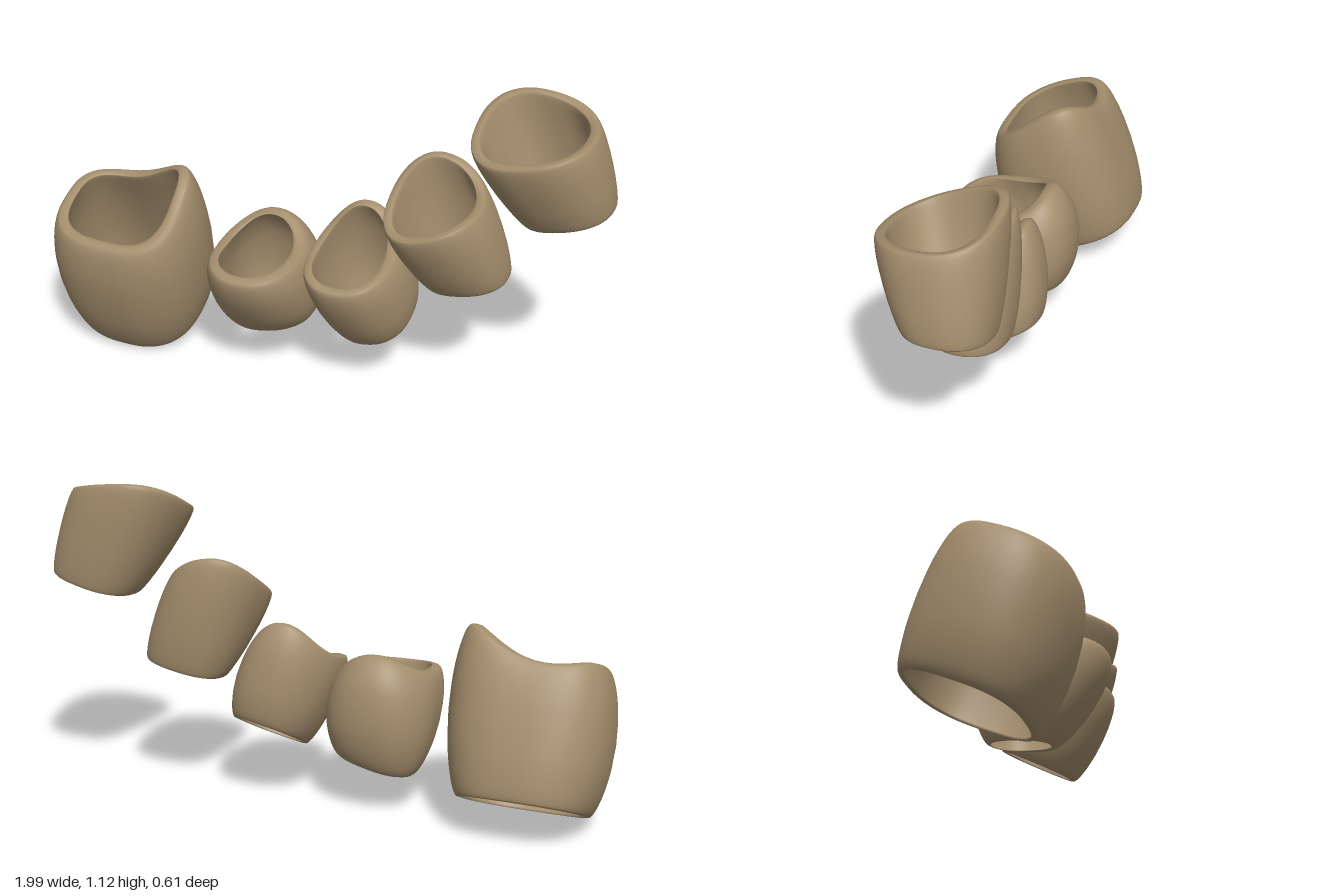
import * as THREE from 'three';

// Each rim is a squarish oval: centre, half sizes [x, z] and rise towards [+x, +z].
// bend lifts (or drops) the sides and back corners, twist lifts opposite corners.
const rim = (centre, size, rise, bend = 0, twist = 0) => ({ centre, size, rise, bend, twist });

const SLEEVES = [
  {
    name: 'thumbSleeve', wall: 0.055, bulge: 0.052, backBulge: 0.025, square: 0.76,
    bottom: rim([-0.715, 0.082, -0.05], [0.222, 0.2], [0, -0.088]),
    top: rim([-0.71, 0.55, 0.105], [0.237, 0.19], [0.03, -0.07], 0.085, -0.035),
  },
  {
    name: 'indexSleeve', wall: 0.05, bulge: 0.038, backBulge: 0.075, square: 0.87,
    bottom: rim([-0.175, 0.16, -0.03], [0.138, 0.11], [0.03, -0.01]),
    top: rim([-0.193, 0.51, 0.095], [0.155, 0.185], [0, -0.058], -0.06),
  },
  {
    name: 'middleSleeve', wall: 0.045, bulge: 0.026, backBulge: 0.035, square: 0.85,
    bottom: rim([0.212, 0.238, -0.075], [0.125, 0.127], [0.025, -0.065]),
    top: rim([0.139, 0.555, 0.043], [0.152, 0.175], [0.005, -0.1], -0.09),
  },
  {
    name: 'ringSleeve', wall: 0.045, bulge: 0.014, backBulge: 0.02, square: 0.87,
    bottom: rim([0.53, 0.445, -0.097], [0.143, 0.12], [0.03, -0.013]),
    top: rim([0.42, 0.78, -0.01], [0.167, 0.18], [0.01, -0.085], -0.04, 0.04),
  },
  {
    name: 'littleSleeve', wall: 0.045, bulge: 0.012, backBulge: 0.01, square: 0.85,
    bottom: rim([0.85, 0.742, -0.158], [0.15, 0.143], [0.04, -0.008]),
    top: rim([0.728, 1.058, -0.086], [0.206, 0.198], [0.015, -0.06], -0.01, 0.03),
  },
];

const AROUND = 64;
const ROWS = 40;

// Signed power: exponents below 1 square off a circle
const power = (v, e) => Math.sign(v) * Math.abs(v) ** e;

function rimPoint({ centre, size, rise, bend, twist }, c, s) {
  return new THREE.Vector3(
    centre[0] + size[0] * c,
    centre[1] + rise[0] * c + rise[1] * s + bend * c * c * (1 - s) / 2 + twist * c * s,
    centre[2] + size[1] * s);
}

function sleeveGeometry({ bottom, top, wall, bulge, backBulge, square }) {
  const lowCentre = new THREE.Vector3(...bottom.centre);
  const highCentre = new THREE.Vector3(...top.centre);
  const axis = highCentre.clone().sub(lowCentre).normalize();
  const outward = (p, centre) => p.clone().sub(centre).projectOnPlane(axis).normalize();
  const positions = [], index = [];

  for (let i = 0; i < AROUND; i++) {
    const angle = (i / AROUND) * Math.PI * 2;
    const c = power(Math.cos(angle), square), s = power(Math.sin(angle), square);
    const low = rimPoint(bottom, c, s), high = rimPoint(top, c, s);
    const outLow = outward(low, lowCentre), outHigh = outward(high, highCentre);
    const swell = THREE.MathUtils.lerp(bulge, backBulge, Math.max(0, -Math.sin(angle)));

    // wall section: up the outside, over the rounded rim and down the inside
    for (let j = 0; j < ROWS; j++) {
      const t = (j / ROWS) * Math.PI * 2 - Math.PI / 2;
      const v = 0.5 + 0.5 * power(Math.sin(t), 0.6);
      const depth = wall * (0.5 + 0.5 * v) * (0.5 - 0.5 * power(Math.cos(t), 0.3));
      const out = outLow.clone().lerp(outHigh, v).normalize();
      const p = low.clone().lerp(high, v)
        .addScaledVector(out, swell * Math.abs(Math.sin(Math.PI * v)) ** 0.65 - depth);
      positions.push(p.x, p.y, p.z);

      const next = (i + 1) % AROUND, up = (j + 1) % ROWS;
      const a = i * ROWS + j, b = next * ROWS + j;
      const d = i * ROWS + up, e = next * ROWS + up;
      index.push(a, d, b, b, d, e);
    }
  }
  const geometry = new THREE.BufferGeometry();
  geometry.setAttribute('position', new THREE.Float32BufferAttribute(positions, 3));
  geometry.setIndex(index);
  geometry.computeVertexNormals();
  return geometry;
}

export function createModel() {
  const tan = new THREE.MeshStandardMaterial({ color: 0xa38d6c });
  tan.name = 'tan';
  const model = new THREE.Group();
  model.name = 'fingerSleeves';
  for (const sleeve of SLEEVES) {
    const mesh = new THREE.Mesh(sleeveGeometry(sleeve), tan);
    mesh.name = sleeve.name;
    model.add(mesh);
  }
  return model;
}
